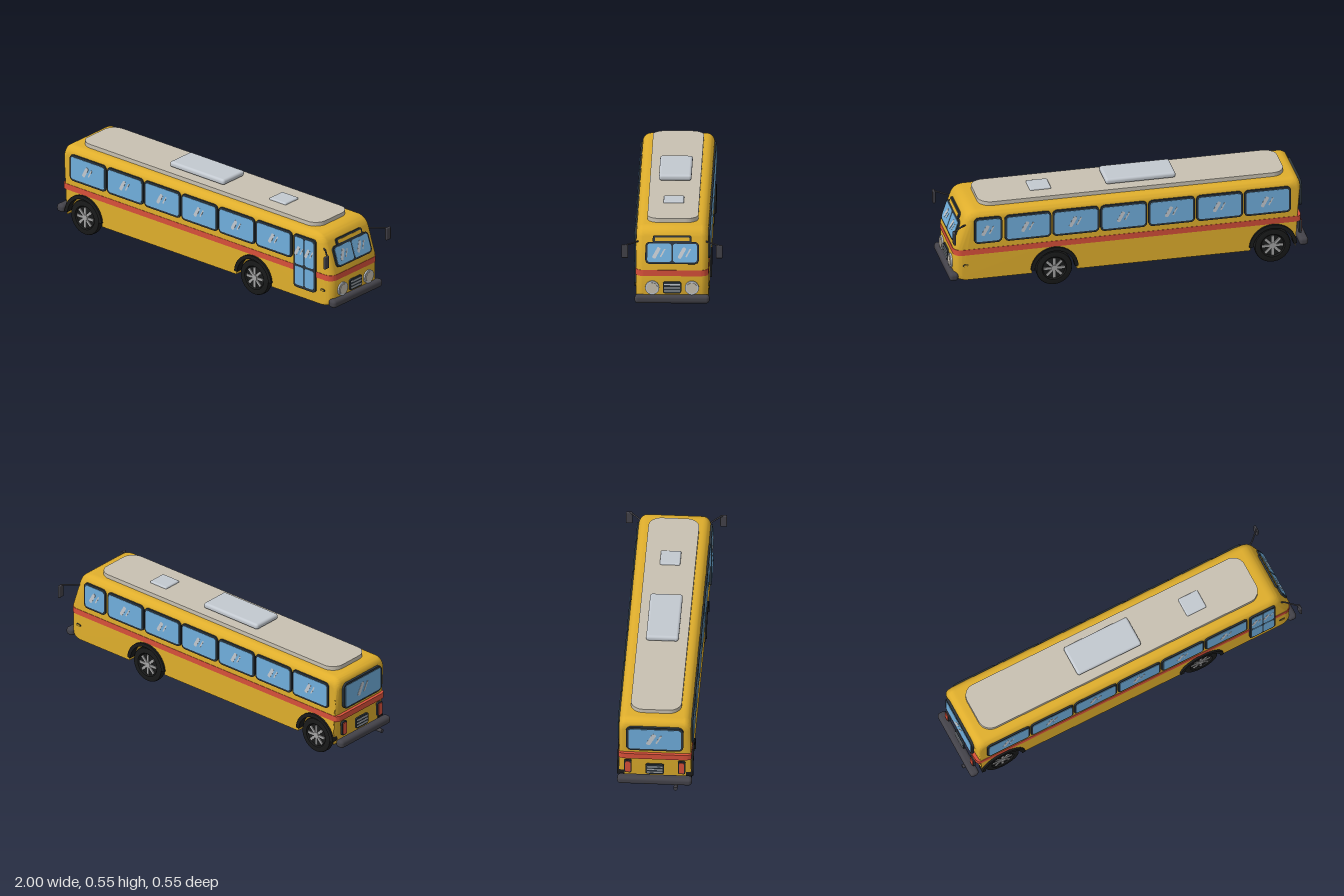
import * as THREE from 'three';
import { toCreasedNormals } from 'three/addons/utils/BufferGeometryUtils.js';
import { RoundedBoxGeometry } from 'three/addons/geometries/RoundedBoxGeometry.js';

const mat = (name, color) => {
  const m = new THREE.MeshStandardMaterial({ color });
  m.name = name;
  return m;
};

export function createModel() {
  const bus = new THREE.Group();
  bus.name = 'bus';
  const yellow = mat('yellow paint', 0xdfae2c), red = mat('red paint', 0xd8503a);
  const beige = mat('beige', 0xc8c1b2), frameDark = mat('window frame', 0x2b343b);
  const glass = mat('glass', 0x70aedc), silver = mat('silver', 0xc3c9d0);
  const grey = mat('dark grey', 0x434249), black = mat('rubber', 0x191a1a);
  const hubGrey = mat('hub grey', 0xa3a3a3);

  const add = (parent, name, geo, material, x = 0, y = 0, z = 0) => {
    const m = new THREE.Mesh(geo, material);
    m.name = name;
    m.position.set(x, y, z);
    parent.add(m);
    return m;
  };
  const group = (name, x, y, z, ry = 0, rx = 0) => {
    const g = new THREE.Group();
    g.name = name;
    g.position.set(x, y, z);
    g.rotation.set(rx, ry, 0, 'YXZ');
    bus.add(g);
    return g;
  };
  const roundRect = (w, h, r) => {
    const s = new THREE.Shape(), x = w / 2 - r, y = h / 2 - r, q = Math.PI / 2;
    s.absarc(x, y, r, 0, q);
    s.absarc(-x, y, r, q, 2 * q);
    s.absarc(-x, -y, r, 2 * q, 3 * q);
    s.absarc(x, -y, r, 3 * q, 4 * q);
    return s;
  };
  const extrude = (shape, depth) =>
    new THREE.ExtrudeGeometry(shape, { depth, bevelEnabled: false, curveSegments: 8 });
  const plate = (w, h, r, t) => extrude(roundRect(w, h, r), t);

  // Lofts a side outline across the width, pulling it in towards both sides
  const loft = (outline, half, radius) => {
    const rings = [];
    for (let k = 0; k <= 8; k++) {
      const a = (k / 8) * Math.PI / 2;
      rings.push({ z: half - radius + radius * Math.sin(a), d: radius * (1 - Math.cos(a)) });
    }
    const all = [...rings.slice().reverse().map(r => ({ z: -r.z, d: r.d })), ...rings];
    const pos = [], idx = [];
    let pts;
    for (const r of all) {
      pts = outline(r.d);
      pts.forEach(p => pos.push(p.x, p.y, r.z));
    }
    const n = pts.length, last = (all.length - 1) * n;
    for (let k = 0; k < all.length - 1; k++) for (let i = 0; i < n; i++) {
      const a = k * n + i, b = k * n + (i + 1) % n;
      idx.push(a, b, b + n, a, b + n, a + n);
    }
    for (const [a, b, c] of THREE.ShapeUtils.triangulateShape(pts, []))
      idx.push(last + a, last + b, last + c, a, c, b);
    const g = new THREE.BufferGeometry();
    g.setAttribute('position', new THREE.Float32BufferAttribute(pos, 3));
    g.setIndex(idx);
    return toCreasedNormals(g, 0.6);
  };

  // Body shell with open wheel wells, and the stripe around it
  const axles = [-0.793, 0.415], wellR = 0.125, e = Math.asin(0.015 / wellR);
  const rearX = d => -0.95 + d * 0.4;
  add(bus, 'body', loft(d => {
    const s = new THREE.Shape();
    s.moveTo(rearX(d), 0.085);
    for (const x of axles) s.absarc(x, 0.1, wellR, Math.PI + e, -e, true);
    s.lineTo(0.935 - d, 0.085);
    s.quadraticCurveTo(0.965 - d, 0.085, 0.967 - d, 0.12);
    s.lineTo(0.967 - d, 0.275);
    s.lineTo(0.917 - d, 0.43);
    s.quadraticCurveTo(0.9 - d, 0.49 - d, 0.84 - d, 0.49 - d);
    s.lineTo(-0.9 + d * 0.4, 0.49 - d);
    s.quadraticCurveTo(rearX(d), 0.49 - d, rearX(d), 0.435 - d);
    return s.getPoints(12);
  }, 0.195, 0.045), yellow);
  add(bus, 'stripe', loft(d => [
    new THREE.Vector2(rearX(d) - 0.002, 0.234), new THREE.Vector2(0.969 - d, 0.234),
    new THREE.Vector2(0.969 - d, 0.267), new THREE.Vector2(rearX(d) - 0.002, 0.267),
  ], 0.197, 0.045), red);

  // Glass pane with two slanted reflections
  const pane = (g, w, h, x, y, z, k = 1) => {
    add(g, 'glass', plate(w, h, 0.014, 0.002), glass, x, y, z);
    for (const [ox, bw, bh] of [[-0.016, 0.02, 0.066], [0.018, 0.008, 0.05]]) {
      const bar = add(g, 'reflection', plate(bw * k, bh * k, bw * k * 0.35, 0.001), silver,
        x + ox * k, y, z + 0.002);
      bar.rotation.z = -0.5;
    }
  };
  const sideWindow = (x, w, side) => {
    const g = group('sideWindow', x, 0.377, side * 0.193, side > 0 ? 0 : Math.PI);
    add(g, 'windowFrame', plate(w, 0.154, 0.025, 0.01), frameDark);
    pane(g, w - 0.022, 0.13, 0, 0, 0.01);
  };
  for (let i = 0; i < 6; i++) for (const side of [1, -1]) sideWindow(-0.762 + 0.265 * i, 0.258, side);
  sideWindow(0.783, 0.155, -1);

  // Double-leaf door
  const door = group('door', 0.783, 0.297, 0.193);
  add(door, 'doorFrame', plate(0.155, 0.31, 0.018, 0.012), frameDark);
  for (const x of [-0.035, 0.035]) {
    pane(door, 0.063, 0.16, x, 0.063, 0.012, 0.9);
    add(door, 'lowerGlass', plate(0.063, 0.11, 0.012, 0.002), glass, x, -0.084, 0.012);
  }

  // Windscreen and sign box on the leaning front
  const screen = group('windscreen', 0.938, 0.355, 0, Math.PI / 2, -0.312);
  add(screen, 'screenFrame', plate(0.29, 0.12, 0.025, 0.012), frameDark);
  for (const x of [-0.069, 0.069]) pane(screen, 0.13, 0.1, x, 0, 0.012);
  add(screen, 'signFrame', plate(0.21, 0.04, 0.01, 0.012), frameDark, 0, 0.074, 0);
  add(screen, 'signPanel', plate(0.188, 0.019, 0.006, 0.002), yellow, 0, 0.074, 0.012);

  // Rear window
  const rear = group('rearWindow', -0.948, 0.377, 0, -Math.PI / 2);
  add(rear, 'rearFrame', plate(0.31, 0.154, 0.03, 0.014), frameDark);
  pane(rear, 0.285, 0.13, 0, 0, 0.014, 1.2);

  // Grilles, bumpers
  for (const s of [1, -1]) {
    const g = group('grille', s > 0 ? 0.965 : -0.948, 0.171, 0, s * Math.PI / 2);
    add(g, 'grillePlate', plate(0.1, 0.064, 0.012, 0.01), frameDark);
    for (const y of [-0.018, 0, 0.018])
      add(g, 'slat', new THREE.BoxGeometry(0.084, 0.006, 0.006), silver, 0, y, 0.011);
    add(bus, 'bumper', new RoundedBoxGeometry(0.05, 0.046, 0.404, 3, 0.018), grey,
      s > 0 ? 0.97 : -0.965, 0.108, 0);
  }

  // Parts that come in left and right pairs
  for (const s of [1, -1]) {
    const disc = (name, r, t, m, x) => {
      add(bus, name, new THREE.CylinderGeometry(r, r, t, 32), m, x, 0.17, s * 0.107).rotation.z = Math.PI / 2;
    };
    disc('headlightRim', 0.038, 0.02, silver, 0.966);
    disc('headlightLens', 0.029, 0.02, beige, 0.97);

    const tail = group('tailLight', -0.946, 0.185, s * 0.145, -Math.PI / 2);
    add(tail, 'tailLightFrame', plate(0.04, 0.082, 0.01, 0.012), frameDark);
    add(tail, 'tailLightLens', plate(0.028, 0.068, 0.007, 0.004), red, 0, 0, 0.012);

    const marker = group('sideMarker', 0.905, 0.172, s * 0.193, s > 0 ? 0 : Math.PI);
    add(marker, 'markerFrame', plate(0.03, 0.014, 0.005, 0.005), frameDark);
    add(marker, 'markerLens', plate(0.024, 0.009, 0.004, 0.003), yellow, 0, 0, 0.005);

    const arm = new THREE.CatmullRomCurve3([[0.905, 0.412, 0.183], [0.93, 0.412, 0.2],
      [0.982, 0.412, 0.25], [0.982, 0.4, 0.255]].map(p => new THREE.Vector3(p[0], p[1], s * p[2])), false, 'catmullrom', 0.2);
    add(bus, 'mirrorArm', new THREE.TubeGeometry(arm, 16, 0.0045, 8), grey);
    add(bus, 'mirror', new RoundedBoxGeometry(0.014, 0.074, 0.037, 2, 0.006), grey, 0.982, 0.377, s * 0.255);
  }

  // Wheels and arches
  const tyre = new THREE.LatheGeometry([[0.02, -0.02], [0.088, -0.02], [0.098, -0.014], [0.1, -0.008],
    [0.1, 0.012], [0.097, 0.018], [0.09, 0.02], [0.068, 0.02], [0.062, 0.012], [0, 0.012]]
    .map(p => new THREE.Vector2(...p)), 40);
  const tyreGeo = toCreasedNormals(tyre, 0.6);
  const archShape = new THREE.Shape();
  archShape.absarc(0, 0, 0.132, 0.06, Math.PI - 0.06, false);
  archShape.absarc(0, 0, 0.111, Math.PI - 0.06, 0.06, true);
  const archGeo = new THREE.ExtrudeGeometry(archShape, { depth: 0.04, bevelEnabled: false, curveSegments: 28 });
  for (const x of axles) for (const s of [1, -1]) {
    const w = group('wheel', x, 0.1, s * 0.173, s > 0 ? 0 : Math.PI);
    add(w, 'tyre', tyreGeo, black).rotation.x = Math.PI / 2;
    add(w, 'hub', new THREE.CylinderGeometry(0.018, 0.018, 0.008, 20), hubGrey, 0, 0, 0.016).rotation.x = Math.PI / 2;
    for (let i = 0; i < 8; i++) {
      const a = i * Math.PI / 4;
      add(w, 'spoke', new THREE.BoxGeometry(0.044, 0.013, 0.006), hubGrey,
        0.036 * Math.cos(a), 0.036 * Math.sin(a), 0.014).rotation.z = a;
    }
    add(w, 'wheelArch', archGeo, black, 0, 0, -0.007);
  }

  // Roof panel, cooling unit and hatch
  const flat = (name, w, d, r, t, m, x, y) => {
    add(bus, name, plate(w, d, r, t), m, x, y, 0).rotation.x = -Math.PI / 2;
  };
  flat('roofPanel', 1.69, 0.274, 0.07, 0.033, beige, -0.03, 0.48);
  flat('coolerBase', 0.33, 0.11, 0.01, 0.01, silver, -0.087, 0.511);
  add(bus, 'coolingUnit', new RoundedBoxGeometry(0.387, 0.033, 0.176, 4, 0.014), silver, -0.087, 0.533, 0);
  add(bus, 'roofHatch', new RoundedBoxGeometry(0.118, 0.02, 0.11, 3, 0.008), silver, 0.46, 0.513, 0);

  // Exhaust pipe
  add(bus, 'exhaustPipe', new THREE.CylinderGeometry(0.011, 0.011, 0.1, 16), grey, -0.95, 0.075, 0.115)
    .rotation.z = Math.PI / 2;
  return bus;
}
